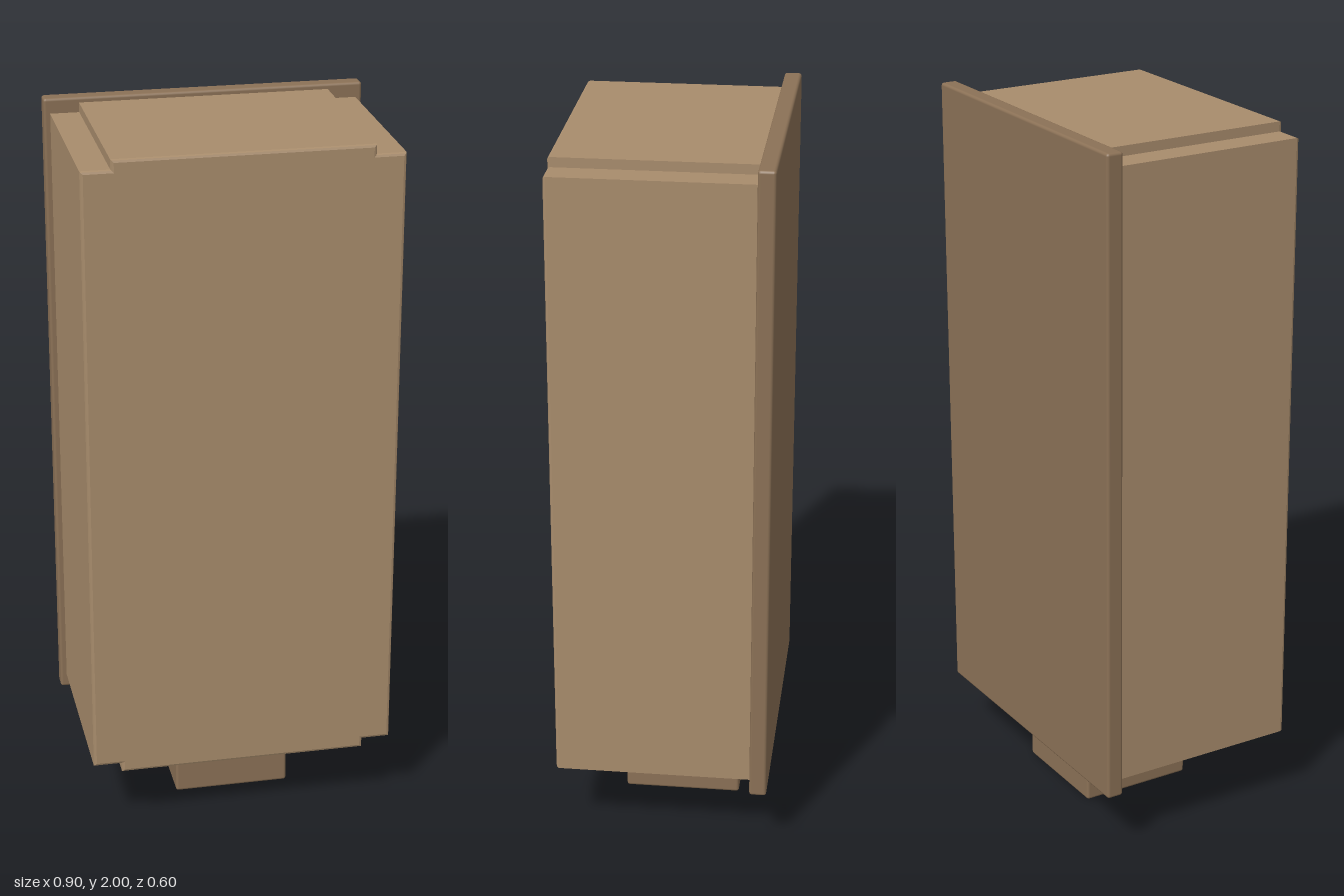
import * as THREE from 'three';
import { RoundedBoxGeometry } from 'three/addons/geometries/RoundedBoxGeometry.js';

const BEVEL = 0.008;

// Softly rounded box given by its minimum and maximum corners
function roundedBox(name, min, max, material) {
  const size = max.map((v, i) => v - min[i]);
  const mesh = new THREE.Mesh(new RoundedBoxGeometry(...size, 2, BEVEL), material);
  mesh.position.set(...max.map((v, i) => (v + min[i]) / 2));
  mesh.name = name;
  return mesh;
}

export function createModel() {
  const group = new THREE.Group();
  group.name = 'housing';
  const light = new THREE.MeshStandardMaterial({ color: 0xa88c6c });
  const dark = new THREE.MeshStandardMaterial({ color: 0x8b7156 });

  // Main body: rectangle with stepped corners, extruded front to back
  const halfW = 0.43, stepX = 0.35, halfH = 0.9, stepY = 0.873;
  const outline = new THREE.Shape([
    [stepX, -halfH], [stepX, -stepY], [halfW, -stepY],
    [halfW, stepY], [stepX, stepY], [stepX, halfH],
    [-stepX, halfH], [-stepX, stepY], [-halfW, stepY],
    [-halfW, -stepY], [-stepX, -stepY], [-stepX, -halfH],
  ].map(([x, y]) => new THREE.Vector2(x, y)));
  const backZ = -0.26, frontZ = 0.298;
  const bodyGeometry = new THREE.ExtrudeGeometry(outline, {
    depth: frontZ - backZ - 2 * BEVEL,
    bevelThickness: BEVEL,
    bevelSize: BEVEL,
    bevelOffset: -BEVEL,
    bevelSegments: 2,
  });
  const body = new THREE.Mesh(bodyGeometry, light);
  body.position.set(0, 1.085, backZ + BEVEL);
  body.name = 'body';
  group.add(body);

  // Wider mounting plate behind the body
  group.add(roundedBox('backPlate', [-0.448, 0.172, -0.298], [0.448, 2, -0.25], dark));

  // Small block under the body
  group.add(roundedBox('bottomConnector', [-0.165, 0, -0.197], [0.165, 0.195, 0.133], dark));

  return group;
}
